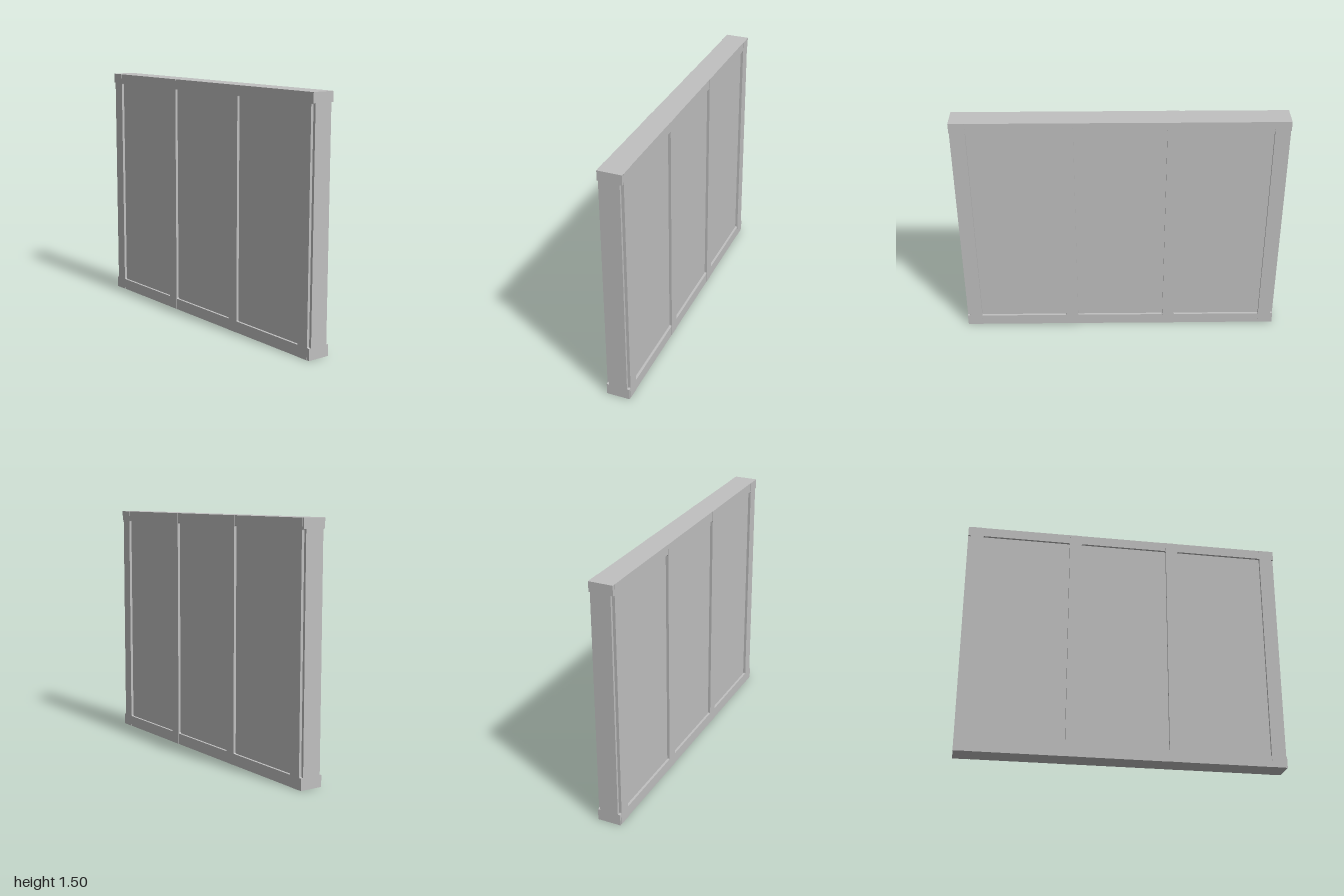
import * as THREE from 'three';

const WIDTH = 2, HEIGHT = 1.5;
const CORE = 0.0575;   // half depth at the recessed panels
const RAIL = 0.0725;   // half depth at the rails
const POST = 0.074;    // half depth at the posts
const BOTTOM = 0.07, TOP = 1.44, CORNER = 0.008;

const bays = [[-0.905, -0.351], [-0.276, 0.276], [0.351, 0.905]];
const posts = [[-0.984, -0.905], [-0.351, -0.276], [0.276, 0.351], [0.905, 0.984]];

// Rectangle with slightly eased corners
function easedRect(x0, x1, y0, y1, r) {
  const p = new THREE.Path();
  p.moveTo(x0 + r, y0);
  p.lineTo(x1 - r, y0);
  p.quadraticCurveTo(x1, y0, x1, y0 + r);
  p.lineTo(x1, y1 - r);
  p.quadraticCurveTo(x1, y1, x1 - r, y1);
  p.lineTo(x0 + r, y1);
  p.quadraticCurveTo(x0, y1, x0, y1 - r);
  p.lineTo(x0, y0 + r);
  p.quadraticCurveTo(x0, y0, x0 + r, y0);
  return p;
}

// Frame outline: half recesses cut into both ends, three openings between
function frameShape() {
  const w = WIDTH / 2, e = 0.984, r = CORNER;
  const s = new THREE.Shape();
  s.moveTo(-w, 0);
  s.lineTo(w, 0);
  s.lineTo(w, BOTTOM);
  s.lineTo(e + r, BOTTOM);
  s.quadraticCurveTo(e, BOTTOM, e, BOTTOM + r);
  s.lineTo(e, TOP - r);
  s.quadraticCurveTo(e, TOP, e + r, TOP);
  s.lineTo(w, TOP);
  s.lineTo(w, HEIGHT);
  s.lineTo(-w, HEIGHT);
  s.lineTo(-w, TOP);
  s.lineTo(-e - r, TOP);
  s.quadraticCurveTo(-e, TOP, -e, TOP - r);
  s.lineTo(-e, BOTTOM + r);
  s.quadraticCurveTo(-e, BOTTOM, -e - r, BOTTOM);
  s.lineTo(-w, BOTTOM);
  s.closePath();
  for (const [x0, x1] of bays) s.holes.push(easedRect(x0, x1, BOTTOM, TOP, CORNER));
  return s;
}

export function createModel() {
  const group = new THREE.Group();
  group.name = 'wallPanel';
  const grey = new THREE.MeshStandardMaterial({ color: 0xc0c0c0 });
  grey.name = 'plain grey';

  // Solid core whose faces form the recessed panels
  const core = new THREE.Mesh(new THREE.BoxGeometry(WIDTH, HEIGHT, CORE * 2), grey);
  core.name = 'core';
  core.position.y = HEIGHT / 2;
  group.add(core);

  // Same frame on the front and, turned round, on the back
  const frameGeometry = new THREE.ExtrudeGeometry(frameShape(), {
    depth: RAIL - CORE, bevelEnabled: false, curveSegments: 4,
  });
  frameGeometry.translate(0, 0, CORE);

  for (const side of ['front', 'back']) {
    const face = new THREE.Group();
    face.name = side + 'Face';
    const frame = new THREE.Mesh(frameGeometry, grey);
    frame.name = side + 'Frame';
    face.add(frame);

    // Posts stand slightly proud of the rails
    for (const [x0, x1] of posts) {
      const post = new THREE.Mesh(new THREE.BoxGeometry(x1 - x0, HEIGHT, POST - RAIL), grey);
      post.name = side + 'Post';
      post.position.set((x0 + x1) / 2, HEIGHT / 2, (POST + RAIL) / 2);
      face.add(post);
    }
    if (side === 'back') face.rotation.y = Math.PI;
    group.add(face);
  }
  return group;
}
